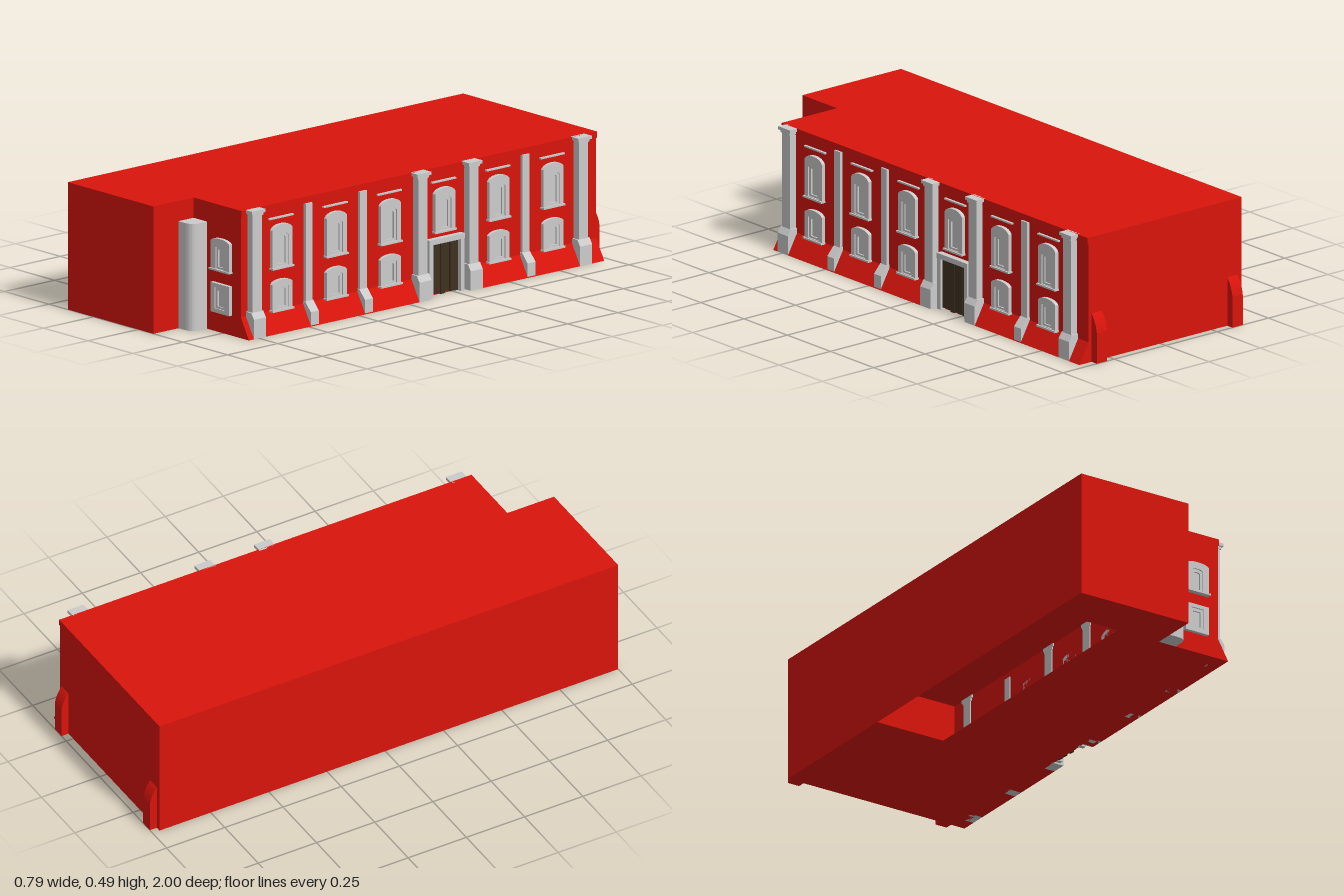
import * as THREE from 'three';

const red = new THREE.MeshStandardMaterial({ color: 0xd8140c, side: THREE.DoubleSide });
const grey = new THREE.MeshStandardMaterial({ color: 0xcccccc });
const brown = new THREE.MeshStandardMaterial({ color: 0x3d3020 });

const H = 0.49, WALL = 0.35, LEFT = -0.395, BACK = -0.97, FRONT = 0.8;

function add(parent, name, geometry, material) {
  const m = new THREE.Mesh(geometry, material);
  m.name = name;
  parent.add(m);
  return m;
}

// Box given by its minimum and maximum corners
function box(parent, name, material, x0, x1, y0, y1, z0, z1) {
  const m = add(parent, name, new THREE.BoxGeometry(x1 - x0, y1 - y0, z1 - z0), material);
  m.position.set((x0 + x1) / 2, (y0 + y1) / 2, (z0 + z1) / 2);
  return m;
}

const polygon = pts => new THREE.Shape(pts.map(p => new THREE.Vector2(...p)));

// Profile in x-y, swept along z between two limits
function sweep(parent, name, material, pts, z0, z1) {
  const g = new THREE.ExtrudeGeometry(polygon(pts), { depth: z1 - z0, bevelEnabled: false });
  g.translate(0, 0, z0);
  return add(parent, name, g, material);
}

// Horizontal sheet from x-z points
function sheet(parent, name, pts, y, up) {
  const g = new THREE.ShapeGeometry(polygon(pts.map(([x, z]) => [x, -z])));
  g.rotateX(-Math.PI / 2);
  if (!up) { // turn the faces downwards
    const idx = g.index.array;
    for (let i = 0; i < idx.length; i += 3) [idx[i], idx[i + 1]] = [idx[i + 1], idx[i]];
    g.computeVertexNormals();
  }
  add(parent, name, g, red).position.y = y;
}

// Rectangle outline with a rise of arch at the top
function arched(width, y0, y1, rise, Type = THREE.Shape) {
  const s = new Type(), w = width / 2;
  s.moveTo(-w, y0);
  s.lineTo(w, y0);
  s.lineTo(w, y1 - rise);
  if (rise) s.quadraticCurveTo(w * 0.75, y1, 0, y1), s.quadraticCurveTo(-w * 0.75, y1, -w, y1 - rise);
  else s.lineTo(-w, y1);
  s.closePath();
  return s;
}

// Window facing +z: stepped surround, pane and optional sill
function makeWindow(w, y0, y1, rise, sill, inner) {
  const g = new THREE.Group();
  g.name = 'window';
  const ring = (name, width, a, b, r, hole, depth) => {
    const s = arched(width, a, b, r);
    if (hole) s.holes.push(arched(hole[0], hole[1], hole[2], hole[3], THREE.Path));
    add(g, name, new THREE.ExtrudeGeometry(s, { depth, bevelEnabled: false, curveSegments: 6 }), grey);
  };
  const [iw, ia, ib, ir] = inner;
  ring('surround', w, y0, y1, rise, inner, 0.015);
  ring('innerFrame', iw, ia, ib, ir, [iw * 0.6, ia + 0.008, ib - 0.012, ir * 0.6], 0.01);
  ring('pane', iw * 0.6, ia + 0.008, ib - 0.012, ir * 0.6, null, 0.004);
  if (sill) box(g, 'sill', grey, -w / 2 - 0.004, w / 2 + 0.004, y0 - 0.001, y0 + 0.006, 0, 0.021);
  return g;
}

function buildShell(root) {
  const g = new THREE.Group();
  g.name = 'shell';
  root.add(g);
  const outline = [[LEFT, BACK], [LEFT, 1], [0.085, 1], [0.085, FRONT], [WALL, FRONT], [WALL, BACK]];
  outline.forEach(([x0, z0], i) => {
    const [x1, z1] = outline[(i + 1) % outline.length];
    const wall = add(g, 'wall', new THREE.PlaneGeometry(Math.hypot(x1 - x0, z1 - z0), H), red);
    wall.position.set((x0 + x1) / 2, H / 2, (z0 + z1) / 2);
    wall.rotation.y = Math.atan2(-(z1 - z0), x1 - x0);
  });
  sheet(g, 'roof', outline, H, true);
  // Floor, left open along one side
  sheet(g, 'floor', [[LEFT, BACK], [WALL, BACK], [WALL, FRONT], [-0.1, FRONT], [-0.1, -0.37], [LEFT, -0.37]], 0, false);
  sheet(g, 'frontFloor', [[LEFT, FRONT], [0.085, FRONT], [0.085, 1], [LEFT, 1]], 0, false);
  // Sloping plinth on both sides of the door
  for (const [a, b] of [[BACK, -0.31], [-0.105, FRONT]])
    sweep(g, 'plinth', red, [[WALL, 0], [0.395, 0], [WALL, 0.08]], a, b);
  box(g, 'cornice', red, WALL, 0.354, 0.465, H, BACK, FRONT);
}

function buildPilasters(root) {
  for (const z of [0.745, -0.08, -0.335, -0.88]) {
    const g = new THREE.Group();
    g.name = 'largePilaster';
    box(g, 'shaft', grey, 0.345, 0.38, 0, 0.475, z - 0.023, z + 0.023);
    sweep(g, 'base', grey, [[0.345, 0], [0.395, 0], [0.395, 0.075], [0.38, 0.098], [0.345, 0.098]], z - 0.03, z + 0.03);
    box(g, 'capLower', grey, 0.345, 0.384, 0.468, 0.478, z - 0.027, z + 0.027);
    box(g, 'capUpper', grey, 0.345, 0.389, 0.478, H, z - 0.034, z + 0.034);
    root.add(g);
  }
  for (const z of [0.47, 0.2, -0.61]) {
    const g = new THREE.Group();
    g.name = 'smallPilaster';
    box(g, 'shaft', grey, 0.345, 0.362, 0, 0.465, z - 0.017, z + 0.017);
    sweep(g, 'base', grey, [[0.345, 0], [0.393, 0], [0.393, 0.055], [0.362, 0.09], [0.345, 0.09]], z - 0.02, z + 0.02);
    root.add(g);
  }
}

function buildWindows(root) {
  for (const z of [0.605, 0.335, 0.065, -0.205, -0.475, -0.745]) {
    const column = new THREE.Group();
    column.name = 'windowColumn';
    column.add(makeWindow(0.1, 0.24, 0.41, 0.02, true, [0.06, 0.248, 0.375, 0.012]));
    if (z !== -0.205) column.add(makeWindow(0.1, 0.077, 0.197, 0.015, true, [0.06, 0.085, 0.175, 0.008]));
    box(column, 'lintel', grey, -0.06, 0.06, 0.432, 0.438, 0, 0.01);
    column.position.set(WALL, 0, z);
    column.rotation.y = Math.PI / 2;
    root.add(column);
  }
  // Pair on the end wall
  const pair = new THREE.Group();
  pair.name = 'endWindows';
  pair.add(makeWindow(0.104, 0.24, 0.364, 0.012, true, [0.045, 0.246, 0.336, 0.006]));
  pair.add(makeWindow(0.104, 0.077, 0.19, 0, false, [0.055, 0.093, 0.175, 0]));
  pair.position.set(0.248, 0, FRONT);
  root.add(pair);
}

function buildDoor(root) {
  const g = new THREE.Group();
  g.name = 'door';
  root.add(g);
  for (const z of [-0.13, -0.285]) box(g, 'jamb', grey, 0.345, 0.372, 0, 0.2, z - 0.009, z + 0.009);
  box(g, 'doorHead', grey, 0.345, 0.374, 0.2, 0.22, -0.296, -0.119);
  // Uneven planks
  for (let i = 0; i < 6; i++) {
    const z = -0.264 + i * 0.0226;
    const plank = box(g, 'plank', brown, 0.348, 0.358 + (i % 2) * 0.004, 0.002 + (i % 3) * 0.003, 0.2, z - 0.011, z + 0.011);
    plank.rotation.y = 0.12;
  }
}

function buildExtras(root) {
  // Round-edged pier in the front corner
  const s = new THREE.Shape();
  s.moveTo(0.085, -0.8);
  s.lineTo(0.085, -0.875);
  s.lineTo(0.12, -0.875);
  s.quadraticCurveTo(0.16, -0.875, 0.16, -0.84);
  s.lineTo(0.16, -0.8);
  s.closePath();
  const pier = new THREE.ExtrudeGeometry(s, { depth: 0.412, bevelEnabled: false, curveSegments: 8 });
  pier.rotateX(-Math.PI / 2);
  add(root, 'cornerPier', pier, grey);

  // Two buttresses with curved tops on the back wall
  const b = new THREE.Shape();
  b.moveTo(0, 0);
  b.lineTo(0.03, 0);
  b.lineTo(0.03, 0.12);
  b.quadraticCurveTo(0.024, 0.16, 0, 0.19);
  b.closePath();
  for (const x of [-0.35, 0.31]) {
    const g = new THREE.ExtrudeGeometry(b, { depth: 0.05, bevelEnabled: false, curveSegments: 8 });
    g.translate(0, 0, -0.025);
    g.rotateY(Math.PI / 2);
    add(root, 'backButtress', g, red).position.set(x, 0, BACK);
  }
}

export function createModel() {
  const root = new THREE.Group();
  root.name = 'building';
  buildShell(root);
  buildPilasters(root);
  buildWindows(root);
  buildDoor(root);
  buildExtras(root);
  return root;
}
